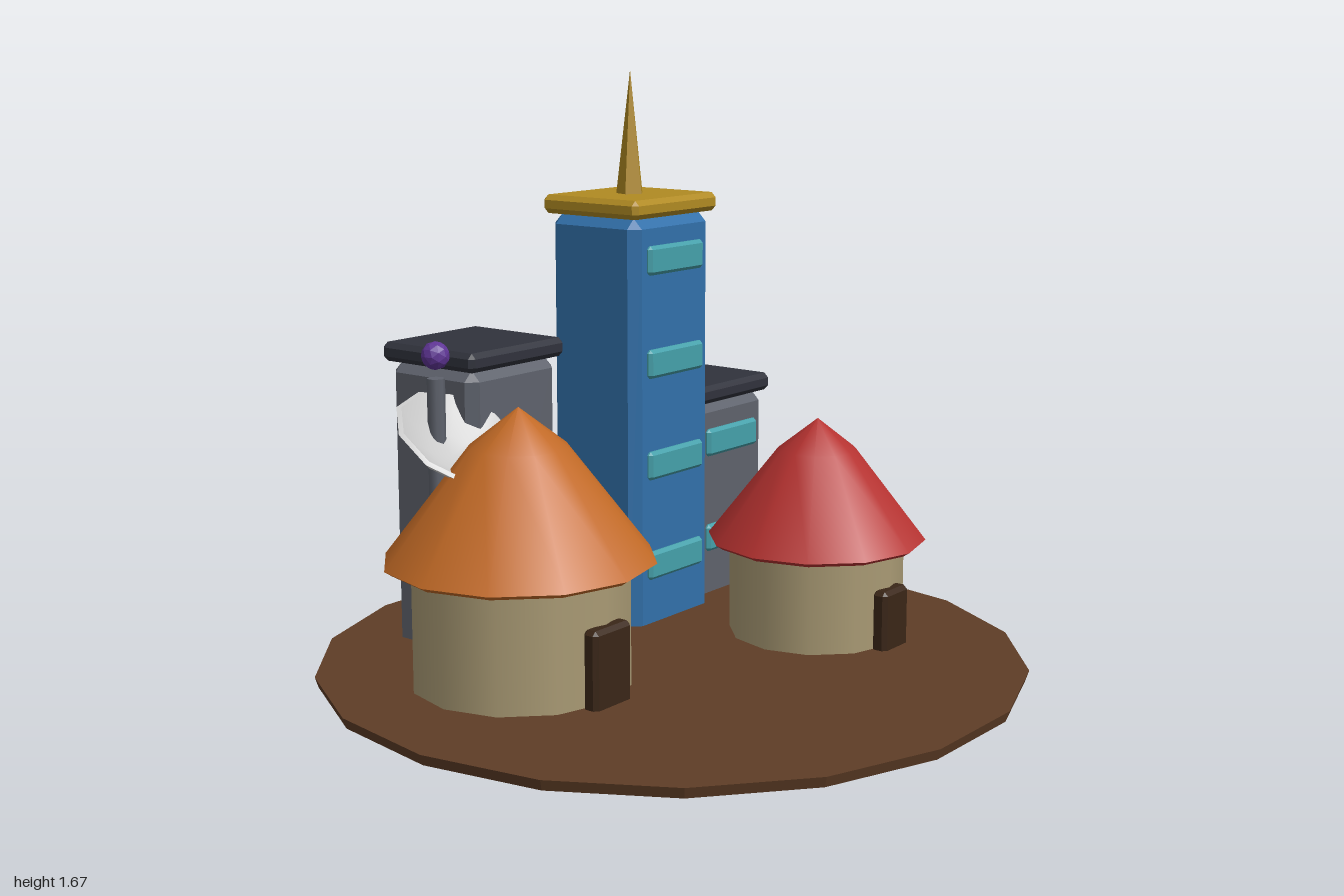
import * as THREE from 'three';
import { toCreasedNormals } from 'three/addons/utils/BufferGeometryUtils.js';
import { ConvexGeometry } from 'three/addons/geometries/ConvexGeometry.js';

const mat = (color, extra = {}) => {
  const m = new THREE.MeshStandardMaterial(extra);
  m.color.set(color);
  return m;
};
const colors = {
  ground: mat(0x5e3d26, { flatShading: true }),
  wall: mat(0xa99a74),
  door: mat(0x3a2617),
  orange: mat(0xc26a26),
  red: mat(0xb53230),
  blue: mat(0x3170aa),
  grey: mat(0x5e626c),
  dark: mat(0x30323c),
  gold: mat(0xb08a22, { flatShading: true }),
  glass: mat(0x45a0aa),
  dish: mat(0xcccccc),
  purple: mat(0x5f3595, { flatShading: true }),
};

function add(parent, name, geometry, material, x = 0, y = 0, z = 0) {
  const mesh = new THREE.Mesh(geometry, material);
  mesh.name = name;
  mesh.position.set(x, y, z);
  parent.add(mesh);
  return mesh;
}

// Box with every edge cut at 45 degrees
function chamferBox(w, h, d, b) {
  const pts = [];
  for (const sx of [-0.5, 0.5]) for (const sy of [-0.5, 0.5]) for (const sz of [-0.5, 0.5]) {
    const full = [sx * w, sy * h, sz * d];
    const cut = [sx, sy, sz].map((s, i) => full[i] - Math.sign(s) * b);
    for (let axis = 0; axis < 3; axis++) {
      pts.push(new THREE.Vector3(...cut.map((c, i) => (i === axis ? full[i] : c))));
    }
  }
  return new ConvexGeometry(pts);
}

// Revolved profile, listed from the bottom upwards, with sharp rims
function lathe(points, sides) {
  const profile = points.map(([r, y]) => new THREE.Vector2(r, y));
  return toCreasedNormals(new THREE.LatheGeometry(profile, sides), Math.PI / 4);
}

// Round hut with a bell-shaped roof and a front door
function hut(name, x, z, s) {
  const g = new THREE.Group();
  g.name = name;
  g.position.set(x, 0, z);
  add(g, 'hutWall', new THREE.CylinderGeometry(s.r, s.r, s.eave, 12), colors.wall, 0, s.eave / 2);
  add(g, 'hutRoof', lathe([
    [0, s.eave - 0.013], [s.roofR - 0.02, s.eave - 0.013], [s.roofR, s.eave],
    [s.roofR * 0.36, s.apex - (s.apex - s.eave) * 0.255], [0, s.apex],
  ], 12), s.roof);
  add(g, 'hutDoor', chamferBox(s.doorW, s.doorH, 0.05, 0.012), colors.door, 0, s.doorH / 2, s.r + 0.003);
  return g;
}

// Square tower with an overhanging cap and a column of front windows
function tower(name, x, z, height, body, cap, floors) {
  const g = new THREE.Group();
  g.name = name;
  g.position.set(x, 0, z);
  add(g, 'towerBody', chamferBox(0.36, height, 0.33, 0.03), body, 0, height / 2);
  add(g, 'towerCap', chamferBox(0.39, 0.055, 0.36, 0.015), cap, 0, height + 0.0275);
  for (let i = 0; i < floors; i++) {
    add(g, 'window', chamferBox(0.255, 0.085, 0.03, 0.01), colors.glass, 0, 0.218 + i * 0.303, 0.165);
  }
  return g;
}

export function createModel() {
  const model = new THREE.Group();
  model.name = 'village';

  const ground = add(model, 'ground', new THREE.CylinderGeometry(1, 0.99, 0.03, 18), colors.ground, 0, 0.025);
  ground.rotation.y = Math.PI / 2;

  model.add(hut('largeHut', -0.427, -0.185, {
    r: 0.303, eave: 0.383, roofR: 0.375, apex: 0.8, doorW: 0.15, doorH: 0.255, roof: colors.orange,
  }));
  model.add(hut('smallHut', 0.452, 0.182, {
    r: 0.255, eave: 0.323, roofR: 0.318, apex: 0.675, doorW: 0.125, doorH: 0.212, roof: colors.red,
  }));

  model.add(tower('leftTower', -0.183, -0.58, 0.855, colors.grey, colors.dark, 2));
  model.add(tower('rightTower', 0.665, -0.457, 0.645, colors.grey, colors.dark, 2));
  const tall = tower('tallTower', 0.302, -0.395, 1.25, colors.blue, colors.gold, 4);
  add(tall, 'spire', new THREE.ConeGeometry(0.043, 0.37, 5), colors.gold, 0, 1.482);
  model.add(tall);

  // Antenna mast with a ball on top and a tilted dish sunk into the roof
  const antenna = new THREE.Group();
  antenna.name = 'antenna';
  add(antenna, 'mast', new THREE.CylinderGeometry(0.025, 0.025, 0.85, 8), colors.grey, -0.458, 0.425, -0.46);
  add(antenna, 'mastBall', new THREE.IcosahedronGeometry(0.04, 1), colors.purple, -0.458, 0.913, -0.46);
  const dish = add(antenna, 'dish', lathe([
    [0, -0.075], [0.08, -0.062], [0.15, -0.03], [0.195, 0.005],
    [0.183, 0.012], [0.14, -0.018], [0.075, -0.048], [0, -0.06],
  ], 10), colors.dish, -0.458, 0.69, -0.37);
  dish.rotation.set(0.6, 0, 0);
  model.add(antenna);

  return model;
}
